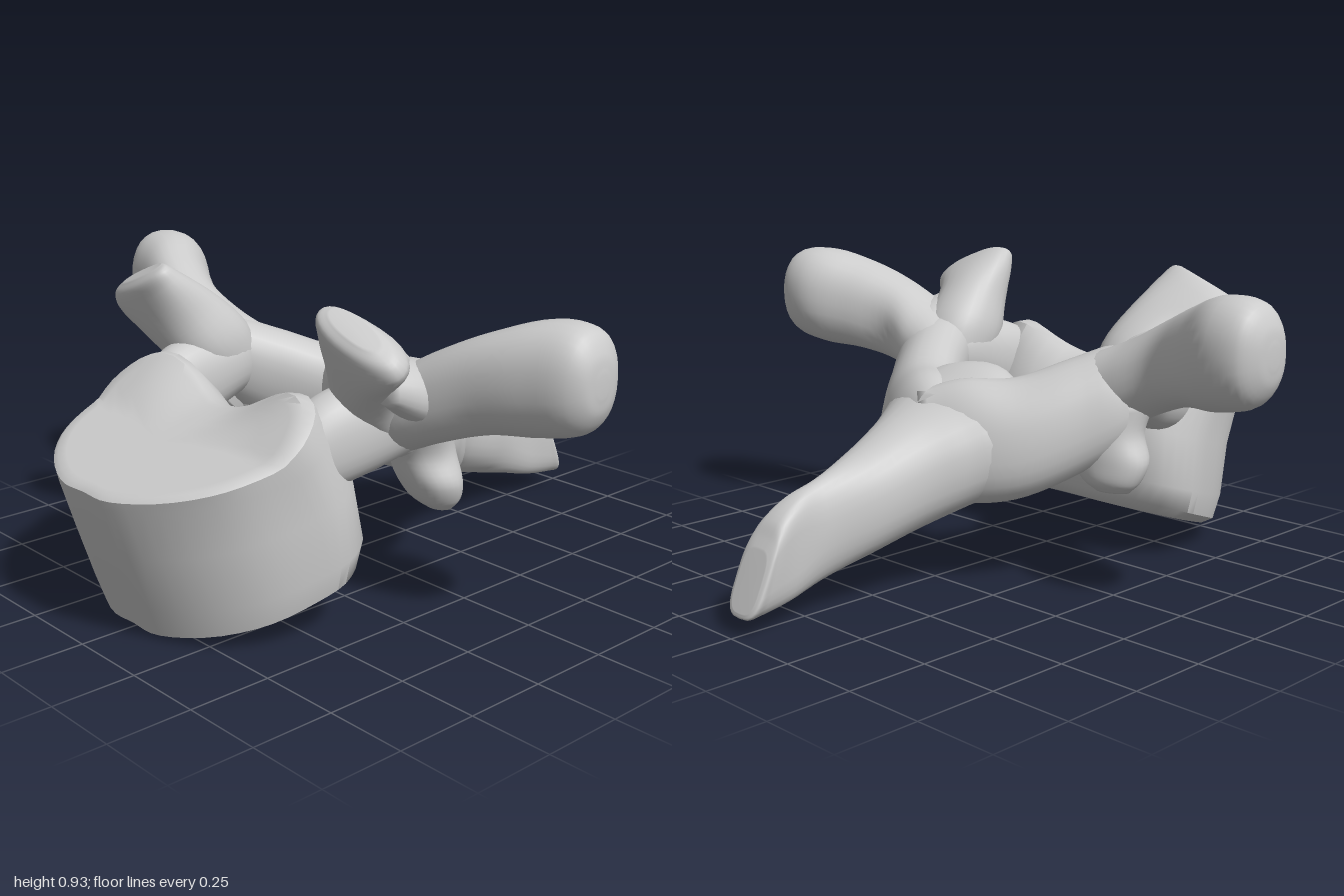
import * as THREE from 'three';
import { toCreasedNormals } from 'three/addons/utils/BufferGeometryUtils.js';

const V = (x, y, z) => new THREE.Vector3(x, y, z);
const material = new THREE.MeshStandardMaterial({ color: 0xcccccc });
const SIDES = 28;

// Skin a stack of closed rings, with a point at each end; faces are turned outwards.
function skin(rings) {
  const n = rings[0].length, pos = [], idx = [];
  rings.forEach(r => r.forEach(p => pos.push(p.x, p.y, p.z)));
  for (let i = 0; i < rings.length - 1; i++)
    for (let j = 0; j < n; j++) {
      const a = i * n + j, b = i * n + (j + 1) % n;
      idx.push(a, b, b + n, a, b + n, a + n);
    }
  [0, rings.length - 1].forEach((i, end) => {
    const c = rings[i].reduce((s, p) => s.add(p), V(0, 0, 0)).divideScalar(n);
    const k = pos.length / 3;
    pos.push(c.x, c.y, c.z);
    for (let j = 0; j < n; j++) {
      const a = i * n + j, b = i * n + (j + 1) % n;
      if (end) idx.push(a, b, k); else idx.push(b, a, k);
    }
  });
  const at = i => V(pos[3 * i], pos[3 * i + 1], pos[3 * i + 2]);
  let volume = 0;
  for (let i = 0; i < idx.length; i += 3) volume += at(idx[i]).dot(at(idx[i + 1]).cross(at(idx[i + 2])));
  if (volume < 0) idx.reverse();
  const g = new THREE.BufferGeometry();
  g.setAttribute('position', new THREE.Float32BufferAttribute(pos, 3));
  g.setIndex(idx);
  g.computeVertexNormals();
  return g;
}

// Oval section: centre c, half axes u and v, boxier with a smaller e.
function oval(c, u, v, e = 0.9) {
  const pw = t => Math.sign(t) * Math.abs(t) ** e;
  return Array.from({ length: SIDES }, (_, j) => {
    const a = j / SIDES * Math.PI * 2;
    return V(...c).addScaledVector(V(...u), pw(Math.cos(a))).addScaledVector(V(...v), pw(Math.sin(a)));
  });
}

// Smooth the sections along their length, then skin them.
function loft(sections, steps = 5) {
  const tracks = sections[0].map((_, j) => new THREE.CatmullRomCurve3(sections.map(s => s[j])));
  const count = (sections.length - 1) * steps;
  return skin(Array.from({ length: count + 1 }, (_, i) => tracks.map(t => t.getPoint(i / count))));
}

// Body: kidney outline carried up a forward-leaning stack of levels.
function bodyGeometry() {
  const half = [[0.1, 1], [0.25, 0.88], [0.37, 0.67], [0.43, 0.4], [0.44, 0.2], [0.37, 0.03], [0.2, -0.03]];
  const outline = new THREE.CatmullRomCurve3([
    V(0, 1, 0), ...half.map(([x, f]) => V(x, f, 0)), V(0, 0.04, 0),
    ...half.slice().reverse().map(([x, f]) => V(-x, f, 0))], true).getPoints(56).slice(0, 56);
  const level = (zBack, zFront, yBack, yFront, width, lip, inset = 1) => outline.map(p => {
    const x = p.x * inset, f = 0.5 + (p.y - 0.5) * inset;
    const raise = lip * THREE.MathUtils.smoothstep(Math.abs(x), 0.03, 0.33) * THREE.MathUtils.clamp(1 - 2.8 * f, 0, 1);
    return V(x * width, THREE.MathUtils.lerp(yBack, yFront, f) + raise, THREE.MathUtils.lerp(zBack, zFront, f));
  });
  const rings = [];
  for (const s of [0.3, 0.6, 0.8, 0.93]) rings.push(level(0.31, 0.82, 0.165, 0, 0.97, 0, s));
  rings.push(level(0.30, 0.83, 0.2, 0.015, 1, 0));
  rings.push(level(0.29, 0.86, 0.27, 0.1, 1.04, 0));
  rings.push(level(0.31, 0.92, 0.42, 0.27, 1, 0.01));
  rings.push(level(0.39, 0.965, 0.54, 0.42, 1, 0.06));
  rings.push(level(0.45, 0.97, 0.59, 0.445, 0.99, 0.09));
  for (const s of [0.95, 0.87, 0.78, 0.68, 0.5, 0.25]) rings.push(level(0.47, 0.97, 0.6, 0.455, 0.99, 0.095, s));
  return toCreasedNormals(skin(rings), 0.75);
}

// Paired parts, given for the left side.
const paired = {
  Pedicle: [
    oval([0.33, 0.5, 0.55], [0.06, 0, 0], [0, 0.08, 0]),
    oval([0.345, 0.54, 0.44], [0.085, 0, 0], [0, 0.13, 0]),
    oval([0.365, 0.57, 0.31], [0.1, 0, 0], [0, 0.135, 0]),
    oval([0.39, 0.6, 0.18], [0.12, 0, 0], [0, 0.12, 0]),
    oval([0.4, 0.58, 0.08], [0.08, 0, 0], [0, 0.09, 0])],
  UpperFacet: [
    oval([0.39, 0.56, 0.18], [0.11, 0, 0], [0, 0.03, -0.11]),
    oval([0.39, 0.67, 0.25], [0.12, -0.01, 0], [0, 0.05, -0.12]),
    oval([0.43, 0.76, 0.33], [0.125, -0.03, 0], [0, 0.06, -0.09]),
    oval([0.485, 0.835, 0.4], [0.15, -0.05, -0.01], [0, 0.045, -0.06]),
    oval([0.49, 0.87, 0.425], [0.135, -0.05, -0.01], [0, 0.03, -0.045]),
    oval([0.48, 0.892, 0.425], [0.09, -0.035, 0], [0, 0.015, -0.03])],
  FacetWeb: [
    oval([0.48, 0.76, 0.37], [0.09, -0.04, 0], [0, 0.06, 0]),
    oval([0.49, 0.7, 0.26], [0.11, -0.02, 0], [0, 0.085, 0]),
    oval([0.47, 0.65, 0.13], [0.1, 0, 0], [0, 0.09, 0]),
    oval([0.45, 0.62, 0.06], [0.05, 0, 0], [0, 0.06, 0])],
  SideWing: [
    oval([0.34, 0.56, 0.11], [0, 0.14, 0], [0, 0, 0.12]),
    oval([0.45, 0.62, 0.16], [0, 0.13, 0], [0, 0, 0.14]),
    oval([0.57, 0.68, 0.16], [0, 0.135, 0], [0, 0, 0.115]),
    oval([0.7, 0.73, 0.11], [0, 0.145, 0.01], [0, 0, 0.12]),
    oval([0.84, 0.76, 0.05], [0, 0.16, 0], [0, 0, 0.135]),
    oval([0.95, 0.77, 0.035], [0, 0.14, 0], [0, 0, 0.11]),
    oval([0.99, 0.77, 0.04], [0, 0.085, 0], [0, 0, 0.065]),
    oval([1, 0.77, 0.04], [0, 0.03, 0], [0, 0, 0.02])],
  LowerFacet: [
    oval([0.4, 0.56, 0.12], [0.1, 0, 0.06], [-0.06, 0, 0.09]),
    oval([0.395, 0.47, 0.085], [0.1, 0, 0.05], [-0.05, 0, 0.08]),
    oval([0.415, 0.39, 0.075], [0.115, 0, 0.04], [-0.04, 0, 0.075]),
    oval([0.43, 0.33, 0.065], [0.085, 0, 0.03], [-0.03, 0, 0.06]),
    oval([0.44, 0.3, 0.06], [0.05, 0, 0.02], [-0.02, 0, 0.03])],
  Lamina: [[-0.02, 0.43, -0.3, 0.15, 0.08], [0.09, 0.44, -0.22, 0.18, 0.11], [0.21, 0.45, -0.12, 0.175, 0.12],
    [0.32, 0.51, 0.01, 0.17, 0.12], [0.4, 0.57, 0.13, 0.15, 0.12], [0.42, 0.6, 0.23, 0.1, 0.08]]
    .map(([x, y, z, h, t]) => oval([x, y, z], [-0.02, h, 0.02], [0.78 * t, 0, -0.62 * t]))
};

// Rear spine: z, bottom, top, half width, forward lean of the top.
const spine = [[0.01, 0.36, 0.62, 0.1, 0], [-0.03, 0.32, 0.64, 0.18, 0], [-0.1, 0.28, 0.64, 0.25, 0],
  [-0.2, 0.245, 0.605, 0.265, 0], [-0.3, 0.21, 0.56, 0.21, 0], [-0.4, 0.18, 0.515, 0.155, 0],
  [-0.55, 0.14, 0.445, 0.11, 0], [-0.7, 0.1, 0.39, 0.06, 0], [-0.8, 0.07, 0.36, 0.055, 0.02],
  [-0.89, 0.055, 0.31, 0.066, 0.04], [-0.925, 0.055, 0.265, 0.068, 0.045], [-0.935, 0.07, 0.235, 0.052, 0.035]]
  .map(([z, lo, hi, hx, lean]) => oval([0, (lo + hi) / 2, z], [hx, 0, 0], [0, (hi - lo) / 2, lean], z < -0.75 ? 0.6 : 0.9));

export function createModel() {
  const group = new THREE.Group();
  const add = (name, geometry) => {
    const mesh = new THREE.Mesh(geometry, material);
    mesh.name = name;
    group.add(mesh);
  };
  add('vertebralBody', bodyGeometry());
  add('rearSpine', loft(spine));
  for (const [name, sections] of Object.entries(paired)) {
    add('left' + name, loft(sections));
    add('right' + name, loft(sections.map(s => s.map(p => V(-p.x, p.y, p.z)))));
  }
  return group;
}
